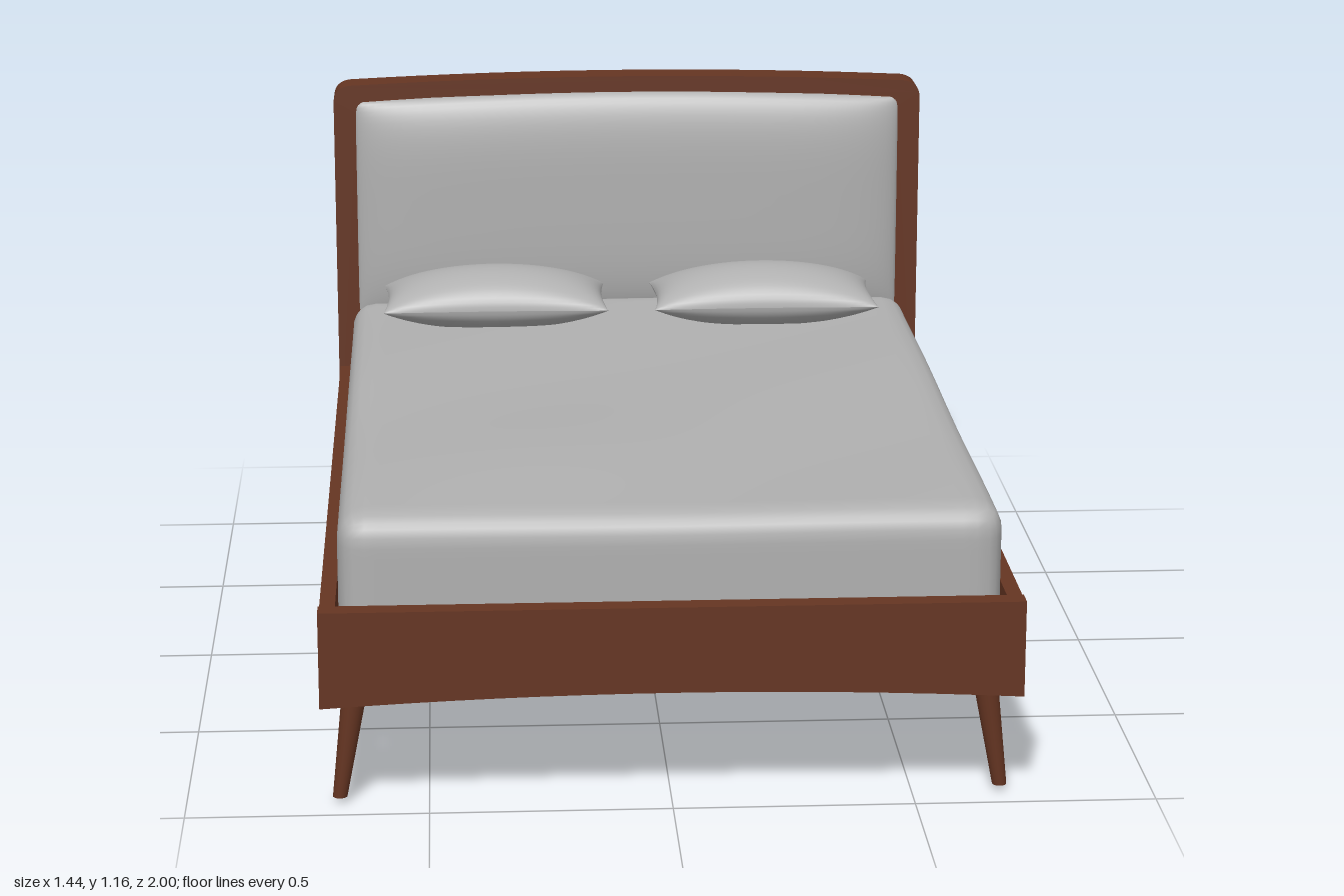
import * as THREE from 'three';
import { mergeVertices } from 'three/addons/utils/BufferGeometryUtils.js';

const wood = new THREE.MeshStandardMaterial({ color: 0x653522 });
wood.name = 'walnut wood';
const fabric = new THREE.MeshStandardMaterial({ color: 0xb0b0b0 });
fabric.name = 'grey fabric';

// Smooth sheet from a rule; u and v run from -1 to 1, denser at the rim
function sheet(nu, nv, rule) {
  const pos = [], index = [];
  const ease = (i, n) => Math.sin((i / n - 0.5) * Math.PI);
  for (let j = 0; j <= nv; j++)
    for (let i = 0; i <= nu; i++) pos.push(...rule(ease(i, nu), ease(j, nv)));
  for (let j = 0; j < nv; j++)
    for (let i = 0; i < nu; i++) {
      const a = j * (nu + 1) + i, b = a + 1, c = a + nu + 1, d = c + 1;
      index.push(a, c, b, b, c, d);
    }
  const g = new THREE.BufferGeometry();
  g.setAttribute('position', new THREE.Float32BufferAttribute(pos, 3));
  g.setIndex(index);
  g.computeVertexNormals();
  return g;
}

// Mattress: box with rounded upper edges and a gently rumpled top
function mattressGeometry() {
  const g0 = new THREE.BoxGeometry(1.36, 0.215, 1.845, 48, 10, 64);
  g0.deleteAttribute('normal');
  g0.deleteAttribute('uv');
  const g = mergeVertices(g0, 1e-4);
  const r = 0.055, p = new THREE.Vector3(), pos = g.attributes.position;
  const lo = new THREE.Vector3(-0.68 + r, -0.1075, -0.9225 + r);
  const hi = new THREE.Vector3(0.68 - r, 0.1075 - r, 0.9225 - r);
  for (let i = 0; i < pos.count; i++) {
    p.fromBufferAttribute(pos, i);
    const core = p.clone().clamp(lo, hi), d = p.clone().sub(core);
    if (d.length() > r) p.copy(core).add(d.setLength(r));
    const w = THREE.MathUtils.smoothstep(p.y, -0.02, 0.1075);
    const hump = 0.012 * Math.exp(-((p.x + 0.25) ** 2) / 0.12 - ((p.z - 0.5) ** 2) / 0.15);
    p.y += w * (hump + 0.003 * Math.sin(5 * p.x + 6 * p.z));
    pos.setXYZ(i, p.x, p.y, p.z);
  }
  g.computeVertexNormals();
  return g;
}

export function createModel() {
  const bed = new THREE.Group();
  bed.name = 'bed';
  const add = (name, geometry, material) => {
    const m = new THREE.Mesh(geometry, material);
    m.name = name;
    bed.add(m);
    return m;
  };
  // Wooden box given by its lower and upper limits
  const box = (name, x0, x1, y0, y1, z0, z1) =>
    add(name, new THREE.BoxGeometry(x1 - x0, y1 - y0, z1 - z0), wood)
      .position.set((x0 + x1) / 2, (y0 + y1) / 2, (z0 + z1) / 2);
  const extrude = (name, shape, z0, z1) =>
    add(name, new THREE.ExtrudeGeometry(shape, { depth: z1 - z0, bevelEnabled: false, curveSegments: 16 }), wood)
      .position.z = z0;

  // Headboard frame: two posts joined by an arched top
  const frame = new THREE.Shape();
  frame.moveTo(-0.72, 0.23);
  frame.lineTo(-0.665, 0.23);
  frame.lineTo(-0.665, 1.075);
  frame.quadraticCurveTo(-0.665, 1.103, -0.635, 1.105);
  frame.quadraticCurveTo(0, 1.135, 0.635, 1.105);
  frame.quadraticCurveTo(0.665, 1.103, 0.665, 1.075);
  frame.lineTo(0.665, 0.23);
  frame.lineTo(0.72, 0.23);
  frame.lineTo(0.72, 1.1);
  frame.quadraticCurveTo(0.72, 1.138, 0.68, 1.143);
  frame.quadraticCurveTo(0, 1.177, -0.68, 1.143);
  frame.quadraticCurveTo(-0.72, 1.138, -0.72, 1.1);
  extrude('headboardFrame', frame, -1, -0.915);

  // Recessed back panel with thin battens
  const panel = new THREE.Shape();
  panel.moveTo(-0.668, 0.565);
  panel.lineTo(0.668, 0.565);
  panel.lineTo(0.668, 1.1);
  panel.quadraticCurveTo(0, 1.14, -0.668, 1.1);
  extrude('headboardPanel', panel, -0.955, -0.92);
  box('panelBottomBatten', -0.666, 0.666, 0.56, 0.585, -0.97, -0.918);

  // Upholstered headboard cushion
  add('headboardCushion', sheet(40, 30, (u, v) => {
    const top = 1.122 - 0.022 * u * u;
    const puff = Math.sqrt(Math.max(0, (1 - u ** 6) * (1 - v ** 4)));
    return [-0.668 * u, 0.56 + (top - 0.56) * (v + 1) / 2, -0.919 + 0.052 * puff];
  }), fabric);

  // Front rail with arched lower edge
  const rail = new THREE.Shape();
  rail.moveTo(-0.72, 0.23);
  rail.quadraticCurveTo(0, 0.274, 0.72, 0.23);
  rail.lineTo(0.72, 0.435);
  rail.lineTo(-0.72, 0.435);
  extrude('frontRail', rail, 0.955, 1);

  // Under-mattress support
  box('backCrossRail', -0.685, 0.685, 0.36, 0.405, -0.9, -0.865);
  for (const x of [-0.52, -0.29, 0, 0.29, 0.52]) box('slat', x - 0.014, x + 0.014, 0.37, 0.402, -0.89, 0.955);

  for (const s of [-1, 1]) {
    const sideBox = (name, a, b, ...rest) => box(name, Math.min(s * a, s * b), Math.max(s * a, s * b), ...rest);
    sideBox('sideRail', 0.685, 0.717, 0.23, 0.435, -0.915, 0.955);
    sideBox('panelSideBatten', 0.64, 0.666, 0.585, 1.1, -0.97, -0.95);
    sideBox('frontLegBlock', 0.615, 0.685, 0.235, 0.33, 0.885, 0.955);
    sideBox('backLegBlock', 0.605, 0.665, 0.235, 0.33, -0.995, -0.915);
    // Splayed tapered legs, sheared so their feet stay level
    for (const [name, xTop, xFoot, y0, z] of [['frontLeg', 0.65, 0.684, 0.012, 0.924], ['backLeg', 0.643, 0.677, 0, -0.962]]) {
      const h = 0.24 - y0;
      const g = new THREE.CylinderGeometry(0.026, 0.015, h, 20);
      g.applyMatrix4(new THREE.Matrix4().makeShear(0, 0, s * (xTop - xFoot) / h, 0, 0, 0));
      add(name, g, wood).position.set(s * (xTop + xFoot) / 2, y0 + h / 2, z);
    }
  }

  add('mattress', mattressGeometry(), fabric).position.set(0, 0.5075, 0.0275);

  // Pillows: puffed top and flatter underside meeting at a pinched seam
  for (const cx of [-0.333, 0.315])
    for (const side of [1, -1])
      add(side > 0 ? 'pillowTop' : 'pillowUnderside', sheet(32, 24, (u, v) => {
        const puff = Math.sqrt(Math.max(0, (1 - u * u) * (1 - v * v)));
        const y = side > 0 ? 0.08 * puff : -Math.min(0.053, 0.07 * puff);
        return [side * 0.268 * u * (1 - 0.04 * (1 - v * v)), y, 0.138 * v * (1 - 0.05 * (1 - u * u))];
      }), fabric).position.set(cx, 0.665, -0.672);

  return bed;
}
